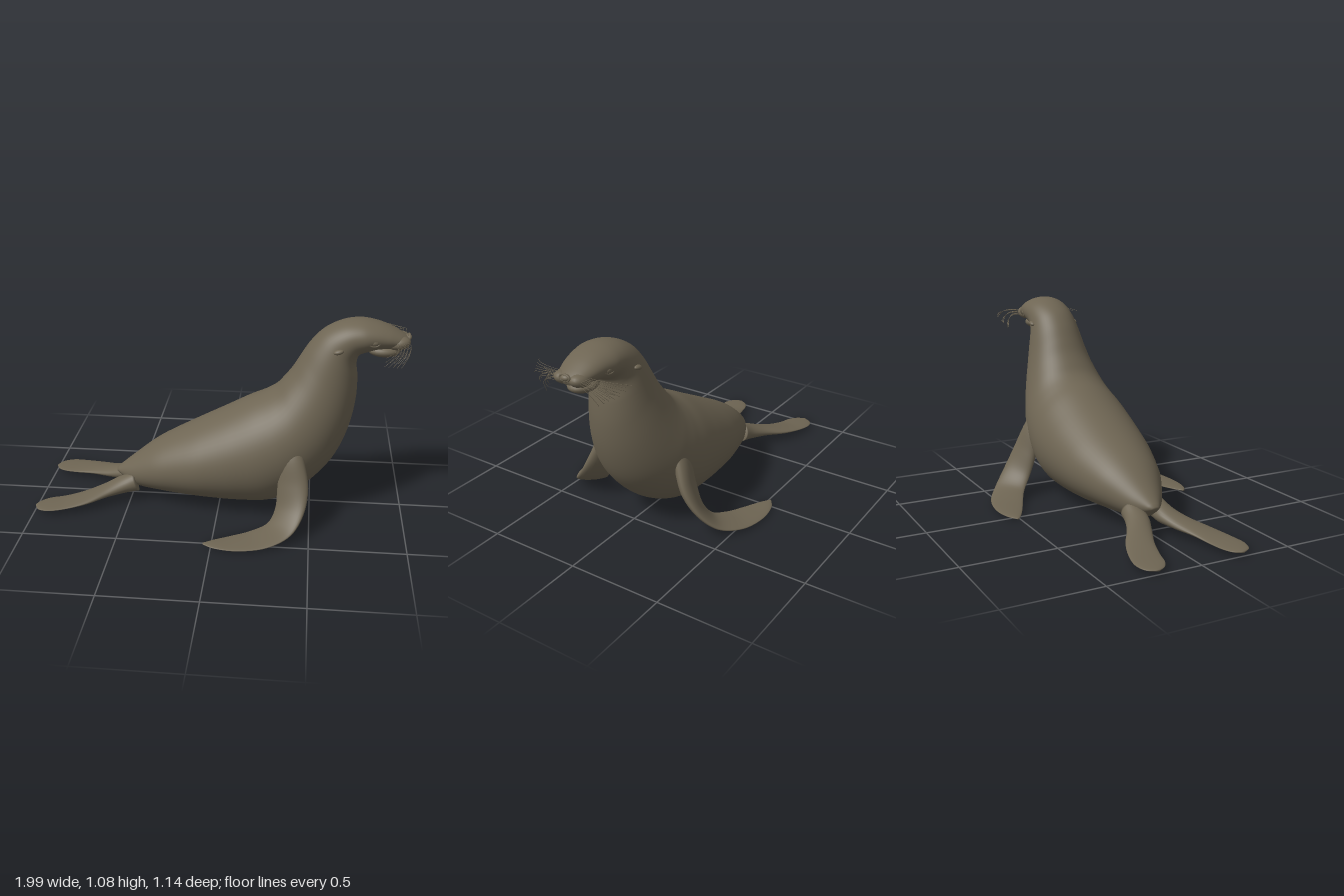
import * as THREE from 'three';

const V = (x, y, z) => new THREE.Vector3(x, y, z);

// Closed smooth skin through oval sections: a and b are opposite edges,
// size is the half depth along the third direction (sideways(a, b, tangent)).
function loft(sections, sideways, steps = 5, sides = 40) {
  const curveA = new THREE.CatmullRomCurve3(sections.map(s => s.a));
  const curveB = new THREE.CatmullRomCurve3(sections.map(s => s.b));
  const curveW = new THREE.CatmullRomCurve3(sections.map(s => V(s.size, 0, 0)));
  const n = (sections.length - 1) * steps;
  const mid = t => curveA.getPoint(t).add(curveB.getPoint(t)).multiplyScalar(0.5);
  const pos = [], index = [];
  for (let i = 0; i <= n; i++) {
    const t = i / n, c = mid(t);
    const half = curveA.getPoint(t).sub(c);
    const tangent = mid(Math.min(1, t + 0.01)).sub(mid(Math.max(0, t - 0.01)));
    const side = sideways(half, tangent).setLength(curveW.getPoint(t).x);
    for (let j = 0; j < sides; j++) {
      const q = j / sides * Math.PI * 2;
      pos.push(...c.clone().addScaledVector(half, Math.cos(q)).addScaledVector(side, Math.sin(q)).toArray());
      const k = (j + 1) % sides, r = i * sides, u = r + sides;
      if (i < n) index.push(r + j, r + k, u + j, r + k, u + k, u + j);
    }
  }
  // end caps
  const base = pos.length / 3;
  pos.push(...mid(0).toArray(), ...mid(1).toArray());
  for (let j = 0; j < sides; j++) {
    const k = (j + 1) % sides;
    index.push(base, k, j, base + 1, n * sides + j, n * sides + k);
  }
  // turn the faces outward
  let volume = 0;
  const p = i => V(pos[i * 3], pos[i * 3 + 1], pos[i * 3 + 2]);
  for (let i = 0; i < index.length; i += 3) {
    volume += p(index[i]).dot(p(index[i + 1]).cross(p(index[i + 2])));
  }
  if (volume < 0) index.reverse();
  const g = new THREE.BufferGeometry();
  g.setAttribute('position', new THREE.Float32BufferAttribute(pos, 3));
  g.setIndex(index);
  g.computeVertexNormals();
  return g;
}

export function createModel() {
  const model = new THREE.Group();
  model.name = 'seaLion';
  const fur = new THREE.MeshStandardMaterial({ color: 0x6e6553 });
  fur.name = 'brownFur';

  const add = (name, geometry, parent = model) => {
    const mesh = new THREE.Mesh(geometry, fur);
    mesh.name = name;
    parent.add(mesh);
    return mesh;
  };
  const blob = (name, x, y, z, rx, ry, rz, parent = model) => {
    const mesh = add(name, new THREE.SphereGeometry(1, 24, 16), parent);
    mesh.position.set(x, y, z);
    mesh.scale.set(rx, ry, rz);
    return mesh;
  };

  // body, neck and head: back x y, belly x y, half width
  const bodyRows = [
    [-0.585, 0.16, -0.575, 0.135, 0.025],
    [-0.5, 0.23, -0.48, 0.075, 0.095],
    [-0.35, 0.345, -0.3, 0.055, 0.185],
    [-0.15, 0.455, -0.08, 0.04, 0.25],
    [0.03, 0.55, 0.12, 0.032, 0.278],
    [0.16, 0.62, 0.29, 0.042, 0.287],
    [0.25, 0.662, 0.43, 0.11, 0.278],
    [0.3, 0.697, 0.55, 0.22, 0.258],
    [0.34, 0.745, 0.63, 0.33, 0.232],
    [0.38, 0.8, 0.69, 0.48, 0.202],
    [0.42, 0.87, 0.72, 0.64, 0.172],
    [0.47, 0.95, 0.722, 0.77, 0.15],
    [0.535, 1.02, 0.713, 0.85, 0.134],
    [0.63, 1.07, 0.725, 0.895, 0.128],
    [0.72, 1.085, 0.77, 0.915, 0.125],
    [0.8, 1.075, 0.81, 0.928, 0.113],
    [0.87, 1.052, 0.87, 0.935, 0.098],
    [0.93, 1.022, 0.92, 0.94, 0.078],
    [0.968, 1.0, 0.96, 0.955, 0.045],
  ];
  add('body', loft(
    bodyRows.map(([ax, ay, bx, by, w]) => ({ a: V(ax, ay, 0), b: V(bx, by, 0), size: w })),
    () => V(0, 0, 1), 5, 56));

  // lower jaw and nose
  blob('lowerJaw', 0.848, 0.92, 0, 0.085, 0.035, 0.068);
  blob('nose', 0.966, 0.993, 0, 0.02, 0.016, 0.026);
  const rim = add('noseRim', new THREE.TorusGeometry(0.027, 0.006, 8, 24));
  rim.position.set(0.972, 0.994, 0);
  rim.rotation.y = Math.PI / 2;
  rim.scale.y = 0.6;

  // flippers: leading edge x y z, trailing edge x y z, half thickness
  const foreRows = [
    [0.43, 0.48, 0.2, 0.37, 0.45, 0.19, 0.03],
    [0.465, 0.37, 0.255, 0.335, 0.35, 0.225, 0.04],
    [0.488, 0.25, 0.31, 0.328, 0.22, 0.255, 0.038],
    [0.47, 0.14, 0.385, 0.32, 0.11, 0.295, 0.026],
    [0.41, 0.058, 0.465, 0.285, 0.05, 0.34, 0.017],
    [0.29, 0.022, 0.54, 0.2, 0.024, 0.385, 0.011],
    [0.13, 0.012, 0.57, 0.1, 0.015, 0.43, 0.008],
    [0.01, 0.012, 0.552, 0.01, 0.013, 0.475, 0.007],
    [-0.042, 0.012, 0.522, -0.042, 0.012, 0.508, 0.004],
  ];
  const hindRows = [
    [-0.455, 0.115, 0.125, -0.475, 0.115, 0.025, 0.055],
    [-0.52, 0.095, 0.14, -0.56, 0.095, 0.025, 0.045],
    [-0.61, 0.075, 0.18, -0.65, 0.07, 0.06, 0.03],
    [-0.71, 0.053, 0.243, -0.76, 0.05, 0.11, 0.018],
    [-0.83, 0.037, 0.29, -0.86, 0.035, 0.14, 0.01],
    [-0.92, 0.03, 0.305, -0.935, 0.03, 0.16, 0.008],
    [-0.975, 0.026, 0.285, -0.98, 0.026, 0.19, 0.007],
    [-1, 0.025, 0.245, -1, 0.025, 0.225, 0.004],
  ];
  const flipper = (rows, s) => loft(
    rows.map(([ax, ay, az, bx, by, bz, t]) => ({ a: V(ax, ay, az * s), b: V(bx, by, bz * s), size: t })),
    (half, tangent) => tangent.clone().cross(half), 6, 28);

  // paired parts on both flanks
  for (const s of [1, -1]) {
    add('foreFlipper', flipper(foreRows, s));
    add('hindFlipper', flipper(hindRows, s));

    // eye with its lid
    blob('eye', 0.79, 0.99, 0.104 * s, 0.024, 0.017, 0.014);
    const lid = add('eyelid', new THREE.TorusGeometry(0.028, 0.007, 8, 24));
    lid.position.set(0.79, 0.99, 0.107 * s);
    lid.scale.y = 0.65;
    lid.rotation.y = 0.2 * s;

    // small ear flap
    blob('ear', 0.612, 0.945, 0.133 * s, 0.027, 0.013, 0.017).rotation.z = 0.25;

    // whisker pad
    blob('muzzlePad', 0.918, 0.973, 0.043 * s, 0.06, 0.034, 0.046).rotation.z = 0.2;

    // whiskers fan out and droop backwards
    const whiskers = new THREE.Group();
    whiskers.name = 'whiskers';
    model.add(whiskers);
    for (let row = 0; row < 3; row++) {
      for (let i = 0; i < 5; i++) {
        const x = 0.9 + i * 0.014, y = 0.985 - row * 0.012;
        const reach = 0.27 - row * 0.035 - i * 0.012;
        const curve = new THREE.QuadraticBezierCurve3(
          V(x, y, 0.07 * s),
          V(x + 0.04, y + 0.02, (0.07 + reach * 0.45) * s),
          V(x - 0.06 + i * 0.008, y - 0.01 - row * 0.025 - i * 0.006, reach * s));
        add('whisker', new THREE.TubeGeometry(curve, 10, 0.0011, 4), whiskers);
      }
    }
  }
  return model;
}
